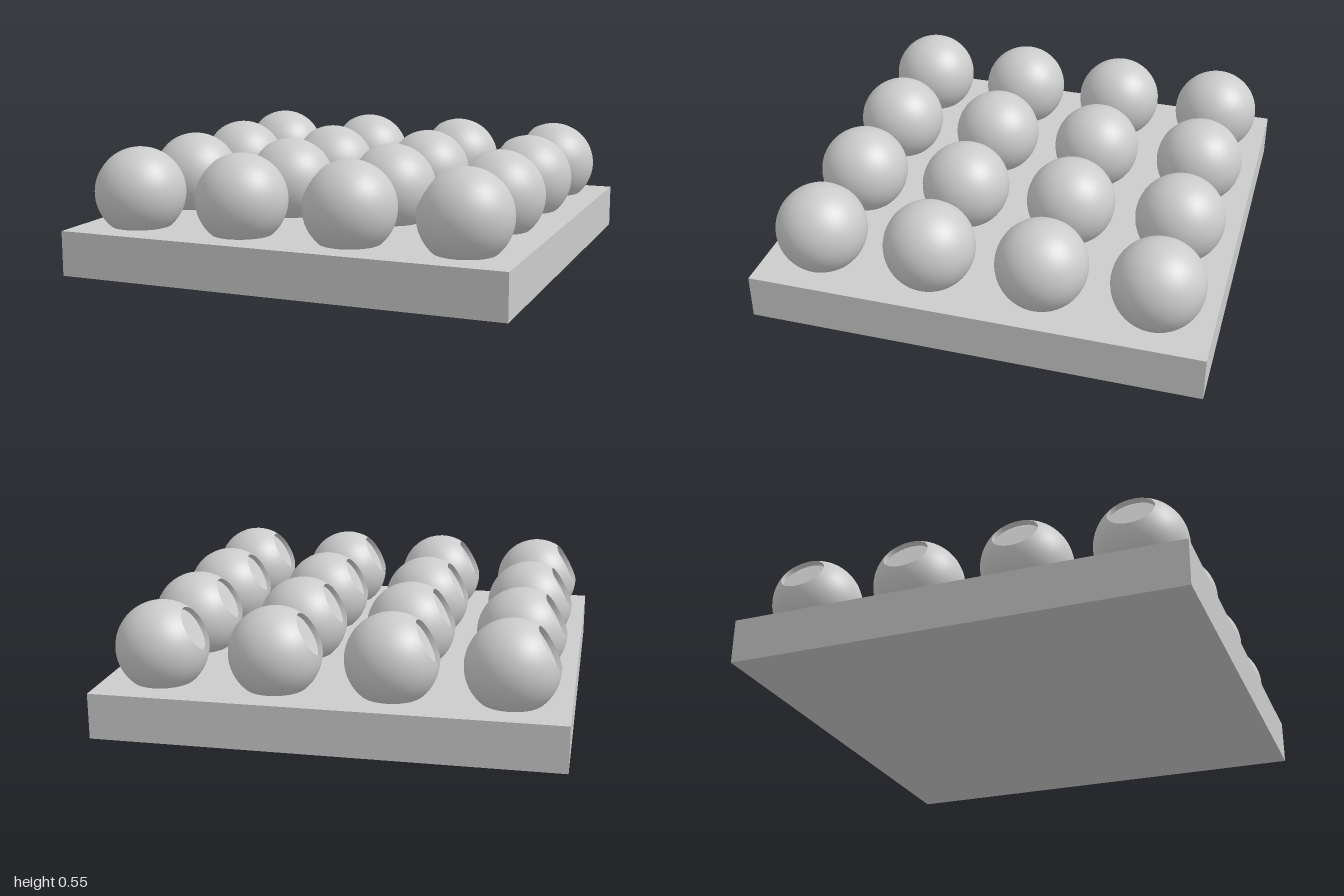
import * as THREE from 'three';
import { mergeGeometries } from 'three/addons/utils/BufferGeometryUtils.js';

const R = 0.2;          // ball radius
const HOLE = 0.1;       // recess radius
const FLOOR = 0.15;     // distance of the recess floor from the ball centre
const SEGMENTS = 48;

// Ball with a round, flat-bottomed recess around its +y pole
function createBallGeometry() {
  const shell = [];
  const steps = 28;
  const rimAngle = Math.PI / 2 - Math.asin(HOLE / R);
  for (let i = 0; i <= steps; i++) {
    const a = THREE.MathUtils.lerp(-Math.PI / 2, rimAngle, i / steps);
    shell.push(new THREE.Vector2(i === 0 ? 0 : R * Math.cos(a), R * Math.sin(a)));
  }
  const rim = shell[steps];
  const wall = [rim, new THREE.Vector2(HOLE, FLOOR)];
  const floor = [new THREE.Vector2(HOLE, FLOOR), new THREE.Vector2(0, FLOOR)];
  // Separate lathes keep the rim and floor edges sharp
  return mergeGeometries([shell, wall, floor].map((p) => new THREE.LatheGeometry(p, SEGMENTS)));
}

export function createModel() {
  const model = new THREE.Group();
  model.name = 'ballTray';
  const material = new THREE.MeshStandardMaterial({ color: 0xcccccc });

  // Square base slab
  const base = new THREE.Mesh(new THREE.BoxGeometry(2, 0.2, 2), material);
  base.name = 'base';
  base.position.y = 0.1;
  model.add(base);

  // 4 x 4 grid of balls, recesses tilted up and toward -x
  const ballGeometry = createBallGeometry();
  for (let row = 0; row < 4; row++) {
    for (let col = 0; col < 4; col++) {
      const ball = new THREE.Mesh(ballGeometry, material);
      ball.name = `ball_${row + 1}_${col + 1}`;
      ball.position.set(-0.75 + col * 0.5, 0.35, -0.75 + row * 0.5);
      ball.rotation.z = Math.PI / 3;
      model.add(ball);
    }
  }
  return model;
}
